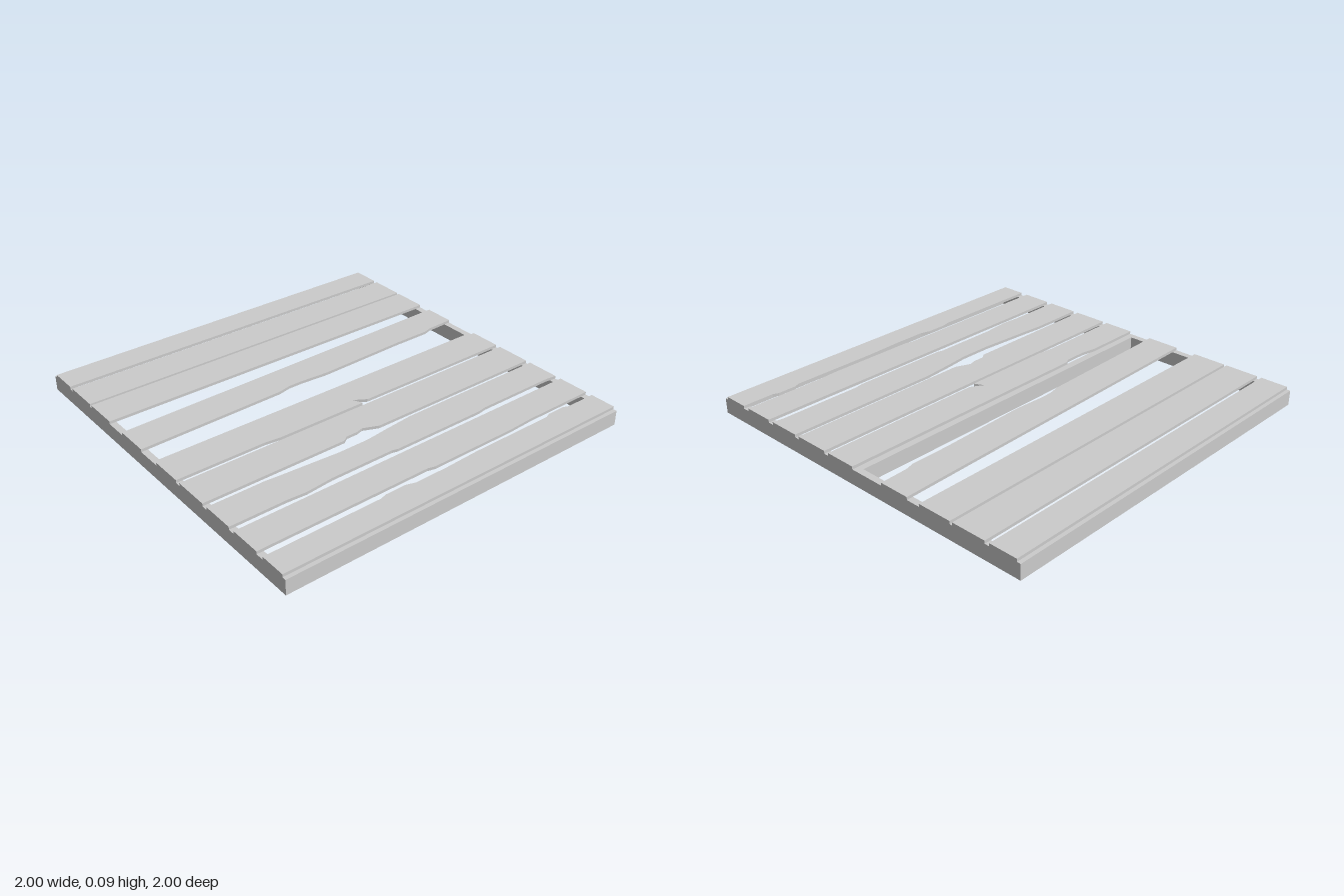
import * as THREE from 'three';

const FRAME_H = 0.08, BOARD_H = 0.015, RAIL = 0.035;

export function createModel() {
  const group = new THREE.Group();
  const mat = new THREE.MeshStandardMaterial({ color: 0xcccccc, flatShading: true });

  const addRail = (name, w, d, x, z) => {
    const rail = new THREE.Mesh(new THREE.BoxGeometry(w, FRAME_H, d), mat);
    rail.name = name;
    rail.position.set(x, FRAME_H / 2, z);
    group.add(rail);
  };

  // Outline of a board: left and right edges as [x, z] points from back to front
  const addBoard = (name, left, right) => {
    const edge = e => Array.isArray(e) ? e : [[e, -1], [e, 1]];
    const outline = [...edge(left), ...edge(right).slice().reverse()];
    const shape = new THREE.Shape(outline.map(([x, z]) => new THREE.Vector2(x, -z)));
    const geo = new THREE.ExtrudeGeometry(shape, { depth: BOARD_H, bevelEnabled: false });
    geo.rotateX(-Math.PI / 2);
    const board = new THREE.Mesh(geo, mat);
    board.name = name;
    board.position.y = FRAME_H;
    group.add(board);
  };

  // Supporting frame with a centre joist
  const inner = 2 - 2 * RAIL;
  addRail('backRail', 2, RAIL, 0, -1 + RAIL / 2);
  addRail('frontRail', 2, RAIL, 0, 1 - RAIL / 2);
  addRail('rightRail', RAIL, inner, -1 + RAIL / 2, 0);
  addRail('leftRail', RAIL, inner, 1 - RAIL / 2, 0);
  addRail('centreJoist', 0.04, inner, 0, 0);

  // Intact boards
  addBoard('board1', -0.98, -0.83);
  addBoard('board2', -0.805, -0.62);
  addBoard('board3', -0.605, -0.42);

  // Loose, crooked board
  addBoard('looseBoard',
    [[-0.345, -1], [-0.335, -0.6], [-0.3, 1]],
    [[-0.18, -1], [-0.175, -0.85], [-0.162, -0.8], [-0.162, -0.6], [-0.145, -0.1],
      [-0.155, 0.05], [-0.155, 0.13], [-0.14, 0.2], [-0.12, 1]]);

  // Worn boards with chipped edges
  addBoard('splitBoard',
    [[0.015, -1], [0.015, 0.46], [0.03, 0.48], [0.03, 0.6], [0.015, 0.68], [0.015, 1]],
    [[0.185, -1], [0.185, -0.1], [0.145, -0.035], [0.195, -0.06], [0.195, 0.44],
      [0.185, 0.52], [0.185, 1]]);
  addBoard('chippedBoard', 0.213,
    [[0.403, -1], [0.403, 0.01], [0.37, 0.09], [0.38, 0.13], [0.38, 0.19], [0.4, 0.22], [0.4, 1]]);
  addBoard('wornBoard1',
    [[0.43, -1], [0.43, -0.16], [0.445, 0], [0.46, 0.13], [0.46, 0.3], [0.44, 0.6],
      [0.432, 0.7], [0.432, 1]],
    [[0.605, -1], [0.597, -0.94], [0.597, -0.5], [0.605, -0.45], [0.605, 0.07],
      [0.597, 0.1], [0.597, 0.45], [0.61, 0.6], [0.603, 0.7], [0.603, 1]]);
  addBoard('wornBoard2', 0.638,
    [[0.805, -1], [0.805, -0.6], [0.813, -0.45], [0.813, 0.03], [0.803, 0.07], [0.803, 1]]);
  addBoard('wornBoard3',
    [[0.842, -1], [0.842, -0.83], [0.83, -0.8], [0.83, -0.7], [0.842, -0.67], [0.842, -0.2],
      [0.85, 0], [0.85, 0.18], [0.835, 0.23], [0.835, 0.34], [0.845, 0.38], [0.845, 1]],
    0.98);

  return group;
}
